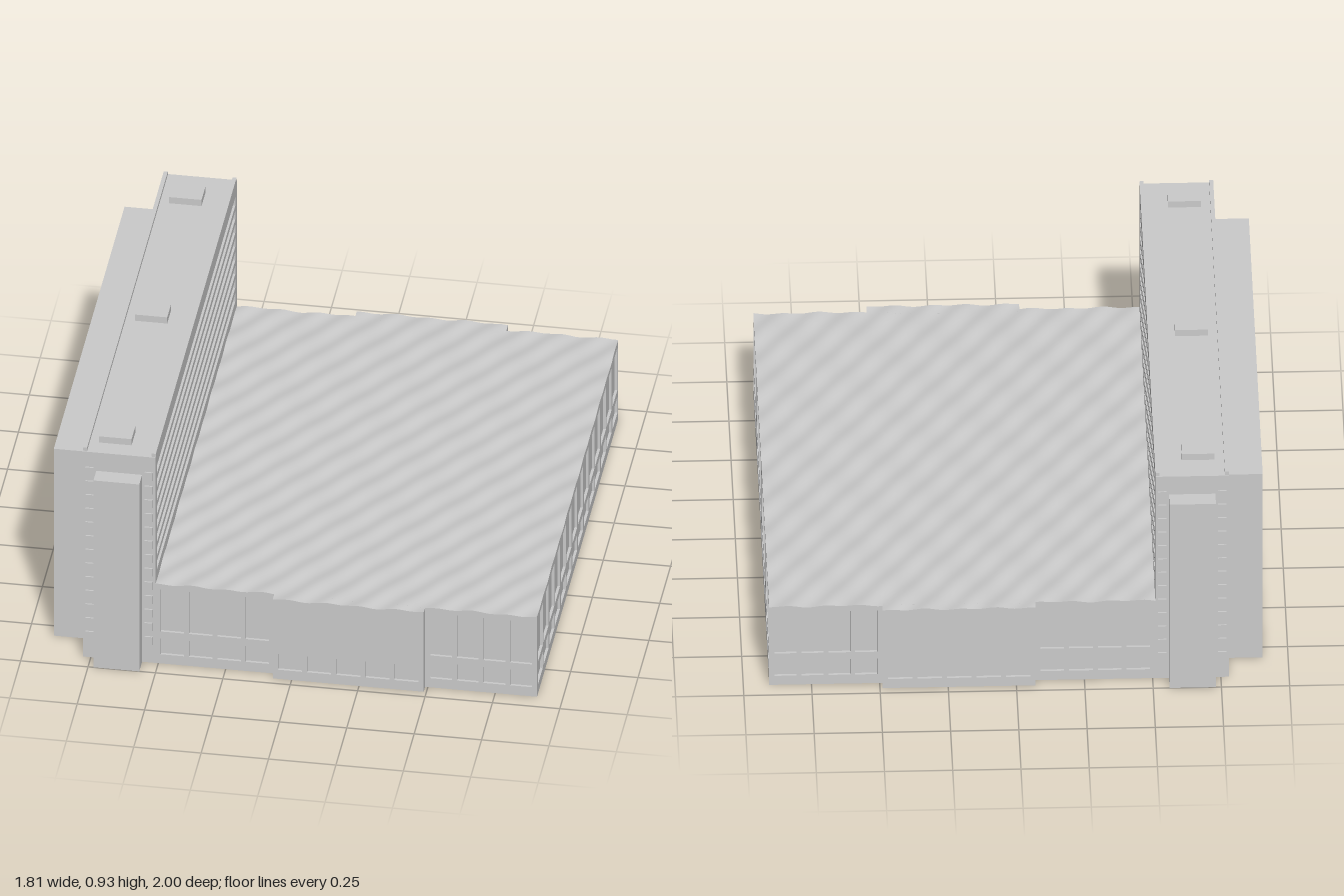
import * as THREE from 'three';

const D = 0.01; // depth of window recesses
const mat = new THREE.MeshStandardMaterial({ color: 0xcccccc, side: THREE.DoubleSide });

function add(group, name, geometry) {
  const mesh = new THREE.Mesh(geometry, mat);
  mesh.name = name;
  group.add(mesh);
  return mesh;
}

// Box given by its limits on each axis
function box(group, name, x0, x1, y0, y1, z0, z1) {
  const mesh = add(group, name, new THREE.BoxGeometry(x1 - x0, y1 - y0, z1 - z0));
  mesh.position.set((x0 + x1) / 2, (y0 + y1) / 2, (z0 + z1) / 2);
  return mesh;
}

// Wall panel centred on x, outer face at z = 0, with rectangular openings [x0, x1, y0, y1]
function facade(group, name, width, y0, y1, openings) {
  const rect = (p, a, b, c, d) => p.moveTo(a, c).lineTo(b, c).lineTo(b, d).lineTo(a, d).closePath();
  const shape = new THREE.Shape();
  rect(shape, -width / 2, width / 2, y0, y1);
  for (const o of openings) {
    const hole = new THREE.Path();
    rect(hole, ...o);
    shape.holes.push(hole);
  }
  const geometry = new THREE.ExtrudeGeometry(shape, { depth: D, bevelEnabled: false });
  geometry.translate(0, 0, -D);
  return add(group, name, geometry);
}

// A row of equal windows across a wall
function windowRow(width, count, y0, y1, gap) {
  const pitch = (width - 0.02) / count;
  return Array.from({ length: count }, (_, i) => {
    const x = -width / 2 + 0.01 + i * pitch;
    return [x + gap / 2, x + pitch - gap / 2, y0, y1];
  });
}

// Stacked horizontal bands across a wall
function bands(width, count, y0, y1, fill) {
  const pitch = (y1 - y0) / count;
  return Array.from({ length: count }, (_, i) =>
    [-width / 2, width / 2, y0 + i * pitch, y0 + (i + fill) * pitch]);
}

const lowerRow = (w, n) => windowRow(w, n, 0.04, 0.11, 0.018);
const upperRow = (w, n) => windowRow(w, n, 0.14, 0.325, 0.018);

// Slab of roof whose top is a shallow slanted quilt
function quiltedRoof(group, name, x0, x1, z0, z1) {
  const nx = Math.ceil((x1 - x0) / 0.02), nz = Math.max(2, Math.ceil((z1 - z0) / 0.02));
  const g = new THREE.BoxGeometry(x1 - x0, 0.02, z1 - z0, nx, 1, nz);
  g.translate((x0 + x1) / 2, 0.335, (z0 + z1) / 2);
  const p = g.attributes.position;
  for (let i = 0; i < p.count; i++) {
    if (p.getY(i) < 0.335) continue;
    const x = p.getX(i), z = p.getZ(i);
    const a = Math.sin(2 * Math.PI * (x + z / 1.4) / 0.13);
    const b = Math.cos(2 * Math.PI * (x - z / 1.4) / 0.26);
    p.setY(i, 0.348 + 0.003 * a + 0.002 * b);
  }
  g.computeVertexNormals();
  add(group, name, g);
}

function createPodium() {
  const podium = new THREE.Group();
  podium.name = 'podium';
  box(podium, 'podiumCore', -0.52, 0.905 - D, 0, 0.33, -0.935 + D, 0.935 - D);
  quiltedRoof(podium, 'podiumRoof', -0.51, 0.905, -0.935, 0.935);

  // Long window wall
  const wall = facade(podium, 'podiumLongWall', 1.87, 0, 0.34,
    [...lowerRow(1.87, 14), ...upperRow(1.87, 14)]);
  wall.rotation.y = Math.PI / 2;
  wall.position.x = 0.905;

  // Mirrored short walls, each with a projecting middle bay
  for (const s of [1, -1]) {
    const turn = s > 0 ? 0 : Math.PI;
    for (const [x0, x1, n] of [[-0.51, -0.07, 4], [0.49, 0.905, 4]]) {
      const w = x1 - x0;
      const side = facade(podium, 'podiumSideWall', w, 0, 0.34, [...lowerRow(w, n), ...upperRow(w, n)]);
      side.rotation.y = turn;
      side.position.set((x0 + x1) / 2, 0, s * 0.935);
    }
    const bay = facade(podium, 'bayWall', 0.56, 0, 0.34, lowerRow(0.56, 5));
    bay.rotation.y = turn;
    bay.position.set(0.21, 0, s * 0.968);
    const [z0, z1] = s > 0 ? [0.92, 0.968] : [-0.968, -0.92];
    box(podium, 'bayCore', -0.07, 0.49, 0, 0.33, s > 0 ? z0 : z0 + D, s > 0 ? z1 - D : z1);
    quiltedRoof(podium, 'bayRoof', -0.07, 0.49, z0, z1);
  }
  return podium;
}

function createTower() {
  const tower = new THREE.Group();
  tower.name = 'tower';
  box(tower, 'towerCore', -0.78, -0.51 - D, 0, 0.9, -0.935, 0.935);
  const front = facade(tower, 'bandedTowerWall', 1.87, 0, 0.9, bands(1.8, 8, 0.39, 0.87, 0.6));
  front.rotation.y = Math.PI / 2;
  front.position.x = -0.51;

  // Roof parapets and plant boxes
  box(tower, 'parapet', -0.78, -0.765, 0.9, 0.914, -0.93, 0.93);
  box(tower, 'parapet', -0.525, -0.51, 0.9, 0.914, -0.93, 0.93);
  for (const z of [-0.788, 0.003, 0.823]) {
    box(tower, 'roofBox', -0.73, -0.61, 0.9, 0.927, z - 0.044, z + 0.044);
  }

  // End shafts with small ledges beside them
  for (const s of [1, -1]) {
    box(tower, 'endShaft', -0.73, -0.56, 0, 0.82, s > 0 ? 0.92 : -1, s > 0 ? 1 : -0.92);
    for (let i = 0; i < 13; i++) {
      const y = 0.08 + i * 0.06;
      for (const x of [-0.755, -0.535]) {
        box(tower, 'ledge', x - 0.015, x + 0.015, y, y + 0.035, s * 0.935 - 0.006, s * 0.935 + 0.006);
      }
    }
  }
  return tower;
}

function createRearWing() {
  const wing = new THREE.Group();
  wing.name = 'rearWing';
  box(wing, 'rearWingCore', -0.907 + D, -0.77, 0, 0.82, -0.815, 0.815);
  const wall = facade(wing, 'bandedRearWall', 1.63, 0, 0.82, bands(1.55, 12, 0.06, 0.78, 0.6));
  wall.rotation.y = -Math.PI / 2;
  wall.position.x = -0.907;
  return wing;
}

export function createModel() {
  const model = new THREE.Group();
  model.name = 'building';
  model.add(createPodium(), createTower(), createRearWing());
  return model;
}
